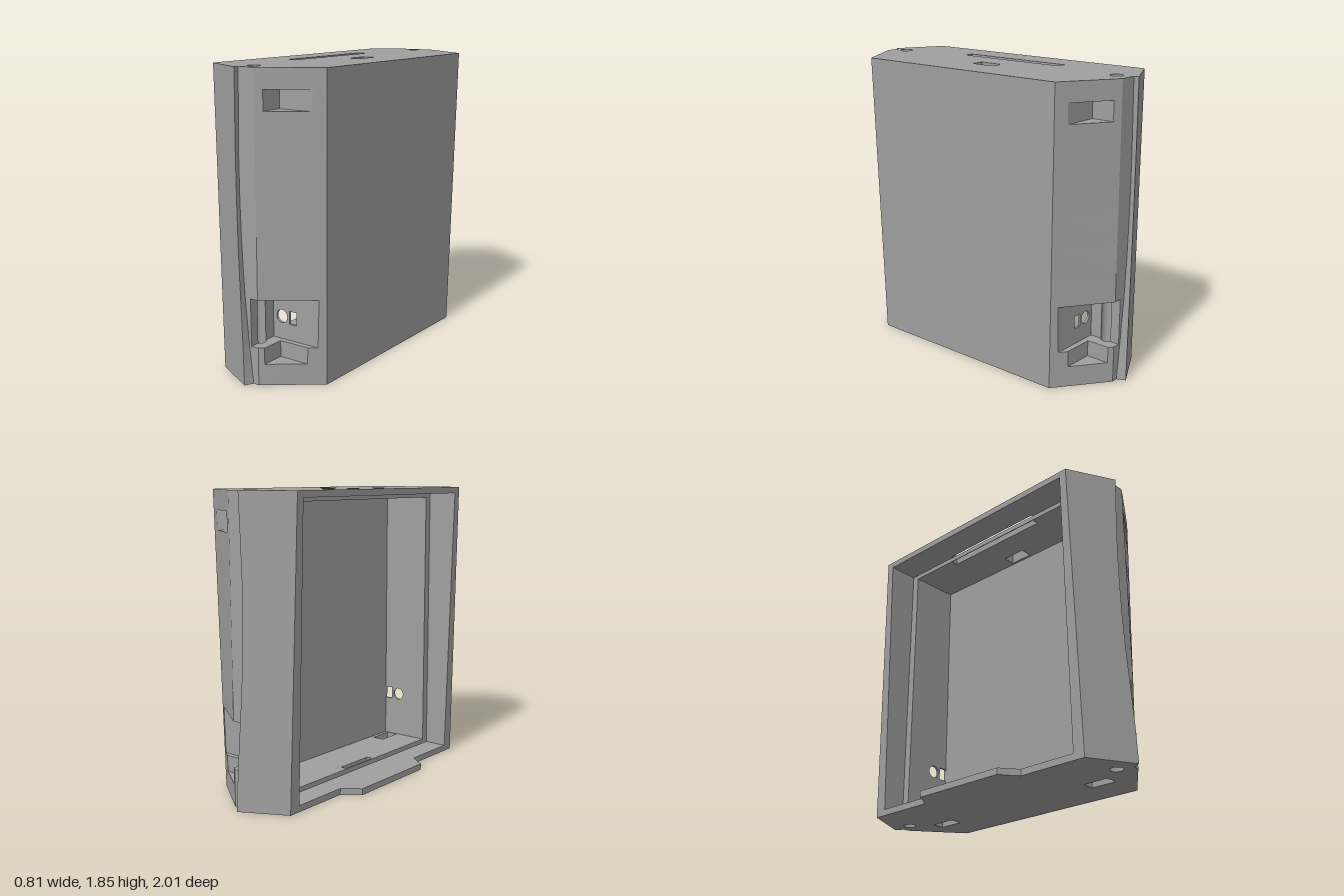
import * as THREE from 'three';

const grey = new THREE.MeshStandardMaterial({ color: 0xa0a0a0 });
grey.name = 'plain grey';

const lerp = THREE.MathUtils.lerp;
const mirror = (pts) => pts.map(([x, z]) => [x, -z]).reverse();
const rect = (x0, x1, z0, z1) => [[x0, z0], [x1, z0], [x1, z1], [x0, z1]];
const arc = (cx, cz, r, a0, a1, n) => Array.from({ length: n + 1 }, (_, i) => {
  const a = lerp(a0, a1, i / n);
  return [cx + r * Math.cos(a), cz + r * Math.sin(a)];
});
const area = (p) => p.reduce((s, [x, z], i) => {
  const [u, v] = p[(i + 1) % p.length];
  return s + x * v - u * z;
}, 0);

// Tapered horizontal layer: section(y) gives { outline, holes } in x, z
function layer(name, y0, y1, section) {
  const pos = [];
  const lo = section(y0), hi = section(y1);
  const loops0 = [lo.outline, ...(lo.holes || [])];
  const loops1 = [hi.outline, ...(hi.holes || [])];
  const put = (p, y) => pos.push(p[0], y, p[1]);
  const v2 = loops0.map((l) => l.map(([x, z]) => new THREE.Vector2(x, z)));
  const flat0 = loops0.flat(), flat1 = loops1.flat();
  for (const t of THREE.ShapeUtils.triangulateShape(v2[0], v2.slice(1))) {
    const [a, b, c] = area(t.map((i) => flat0[i])) > 0 ? t : [t[0], t[2], t[1]];
    [a, b, c].forEach((i) => put(flat0[i], y0));
    [a, c, b].forEach((i) => put(flat1[i], y1));
  }
  loops0.forEach((l0, k) => {
    const l1 = loops1[k], n = l0.length;
    const forward = (area(l0) > 0) === (k === 0);
    for (let i = 0; i < n; i++) {
      const j = (i + 1) % n;
      const [a, b] = forward ? [i, j] : [j, i];
      put(l0[a], y0); put(l1[a], y1); put(l1[b], y1);
      put(l0[a], y0); put(l1[b], y1); put(l0[b], y0);
    }
  });
  const g = new THREE.BufferGeometry();
  g.setAttribute('position', new THREE.Float32BufferAttribute(pos, 3));
  g.computeVertexNormals();
  const m = new THREE.Mesh(g, grey);
  m.name = name;
  return m;
}

// Edges of the tapering shell at height y
const H = 1.85;
const curve = [[0, 0.01], [0.3, -0.022], [0.6, -0.046], [1, -0.062], [1.4, -0.063], [H, -0.05]];
function edges(y) {
  const t = y / H;
  let i = 0;
  while (i < curve.length - 2 && y > curve[i + 1][0]) i++;
  const [ya, xa] = curve[i], [yb, xb] = curve[i + 1];
  const gx = lerp(xa, xb, (y - ya) / (yb - ya));
  const tx = gx - 0.025 * Math.max(0, 1 - y / 0.35);
  const L = lerp(-0.30, -0.35, t), zOn = (x) => 0.83 + (x + 0.35) * 0.515;
  const f = lerp(0.05, 0.06, t), R = lerp(0.37, 0.40, t), zR = lerp(0.71, 0.74, t);
  return {
    L, f, R, zR, ridge: [[L, zOn(L)], [tx, zOn(tx)], [gx, 0.95]],
    chamferZ: (x) => lerp(0.95, zR, (x - f) / (R - f)),
    chamferX: (z) => lerp(f, R, (0.95 - z) / (0.95 - zR)),
  };
}

// Outer contour of one end, with an optional pocket starting at x = pocket
function outer(y, pocket) {
  const e = edges(y);
  const cut = pocket
    ? [[pocket, e.chamferZ(pocket)], [pocket, 0.78], [e.chamferX(0.78), 0.78]] : [];
  const half = [...e.ridge, [e.f, 0.95], ...cut, [e.R, e.zR]];
  return [...half, ...mirror(half)];
}

const bolt = arc(-0.02, 0.855, 0.04, 0, Math.PI * 2, 24).slice(0, -1);
const bolts = [bolt, mirror(bolt)];
const wallX = 0.175, stepX = -0.15, inA = 0.78, inB = 0.73;

const tab = mirror([[-0.30, 0.40], [-0.35, 0.36], [-0.41, 0.32]]).reverse();
const tabEdge = [...tab.reverse(), ...mirror(tab)];
const floorSlot = rect(0.07, 0.15, 0.55, 0.72);
const floorHoles = [...bolts, floorSlot, mirror(floorSlot)];
const roofHoles = [...bolts, rect(-0.145, -0.10, -0.38, 0.38), rect(0.08, 0.16, -0.08, 0.08)];
const roofSlots = [...bolts, rect(-0.16, -0.10, -0.38, 0.38), rect(0.08, 0.16, -0.08, 0.08)];

// Section types
const floor = (y) => ({ outline: outer(y), holes: floorHoles });
const roof = (y) => ({ outline: outer(y), holes: roofSlots });
const ledge = (holes) => (y) => {
  const L = edges(y).L;
  return { outline: [...outer(y), [L, -inA], [stepX, -inA], [stepX, inA], [L, inA]], holes };
};
const shell = (pocket) => (y) => {
  const half = [[wallX, inB], [stepX, inB], [stepX, inA], [edges(y).L, inA]];
  return { outline: [...outer(y, pocket), ...mirror(half), ...half], holes: bolts };
};
const portEnd = (side) => (y) => {
  const e = edges(y);
  const p = [...e.ridge, [0, 0.95], ...arc(-0.02, 0.855, 0.04, Math.PI / 3, Math.PI * 5 / 3, 16),
    [0, inB], [stepX, inB], [stepX, inA], [e.L, inA]];
  return { outline: side > 0 ? p : mirror(p) };
};
const portBack = (y) => {
  const e = edges(y);
  const half = [[wallX, inB], [wallX, 0.745], [e.chamferX(0.745), 0.745], [e.R, e.zR]];
  return { outline: [...half, ...mirror(half)] };
};

// Thin plate with a round and a square socket hole
function socketPlate(z) {
  const s = new THREE.Shape(rect(0, wallX + 0.005, 0.23, 0.52).map((p) => new THREE.Vector2(...p)));
  s.holes.push(new THREE.Path().absarc(0.065, 0.37, 0.04, 0, Math.PI * 2, true));
  s.holes.push(new THREE.Path(rect(0.12, 0.174, 0.33, 0.41).map((p) => new THREE.Vector2(...p))));
  const m = new THREE.Mesh(
    new THREE.ExtrudeGeometry(s, { depth: 0.015, bevelEnabled: false, curveSegments: 24 }), grey);
  m.position.z = z;
  m.name = 'socketPlate';
  return m;
}

export function createModel() {
  const model = new THREE.Group();
  model.name = 'enclosure';
  model.add(layer('floor', 0, 0.04, floor));
  model.add(layer('mountingTab', 0, 0.04, () => ({ outline: tabEdge })));
  const notch = rect(-0.14, -0.10, -0.14, 0.14);
  model.add(layer('floorLedge', 0.04, 0.07, ledge([...floorHoles, notch])));
  model.add(layer('lowerShell', 0.07, 0.13, shell()));
  model.add(layer('lowerPocketShell', 0.13, 0.23, shell(0.08)));

  // Socket bay at both ends
  for (const side of [1, -1]) {
    model.add(layer('socketBayEnd', 0.23, 0.52, portEnd(side)));
    model.add(socketPlate(side > 0 ? inB : -0.745));
  }
  model.add(layer('socketBayWall', 0.23, 0.52, portBack));

  // Main shell in short layers that follow the curved ridge
  const ys = [0.52, 0.7, 0.9, 1.1, 1.35, 1.61];
  for (let i = 0; i < ys.length - 1; i++) model.add(layer('mainShell', ys[i], ys[i + 1], shell()));

  model.add(layer('upperPocketShell', 1.61, 1.73, shell(0.10)));
  model.add(layer('upperShell', 1.73, 1.78, shell()));
  model.add(layer('roofLedge', 1.78, 1.81, ledge(roofHoles)));
  model.add(layer('roof', 1.81, H, roof));
  return model;
}
